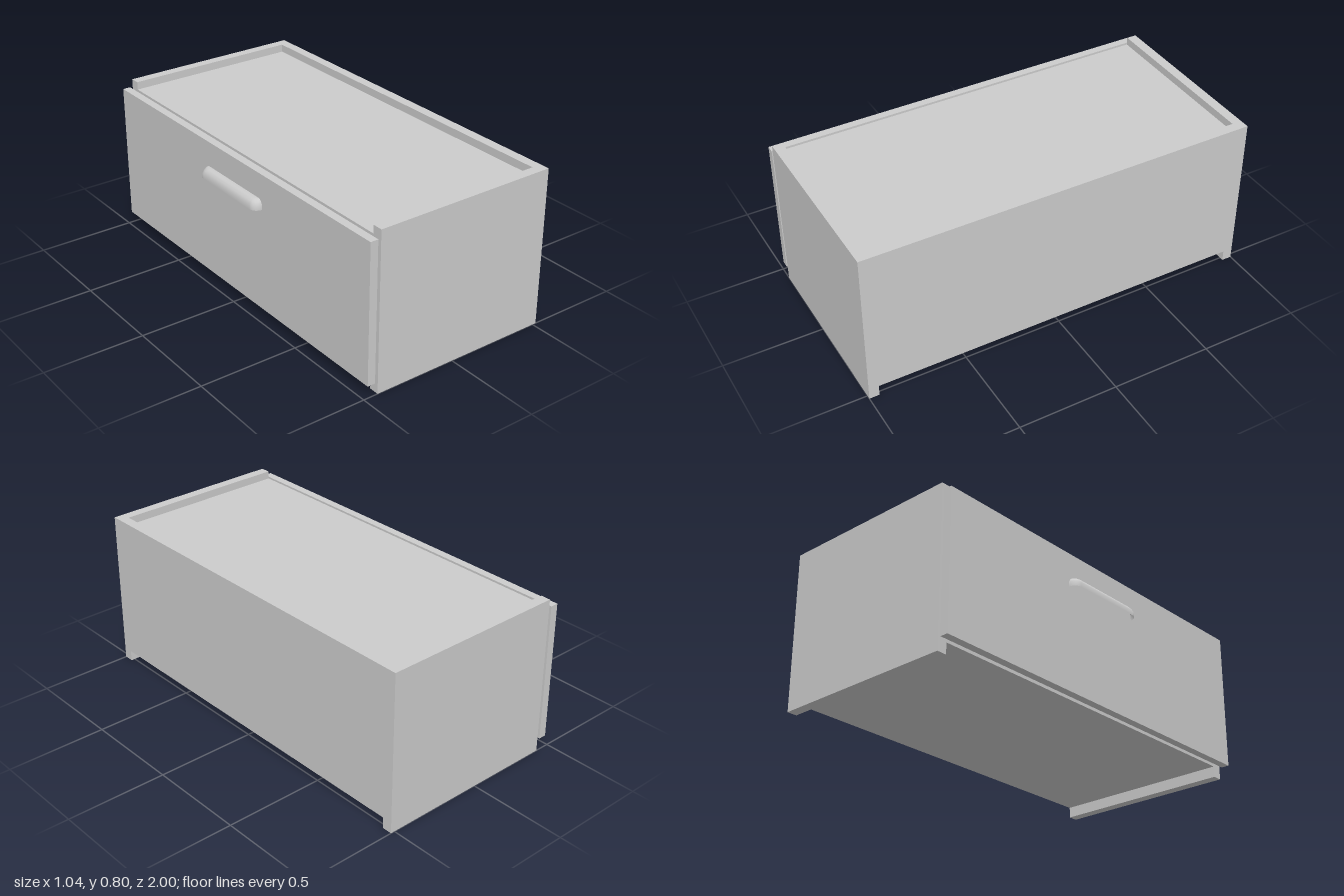
import * as THREE from 'three';
import { toCreasedNormals } from 'three/addons/utils/BufferGeometryUtils.js';

const grey = new THREE.MeshStandardMaterial({ color: 0xcccccc });
const greyThin = new THREE.MeshStandardMaterial({ color: 0xcccccc, side: THREE.DoubleSide });

// Box given by its minimum and maximum on each axis
function slab(name, [x0, x1], [y0, y1], [z0, z1]) {
  const mesh = new THREE.Mesh(new THREE.BoxGeometry(x1 - x0, y1 - y0, z1 - z0), grey);
  mesh.position.set((x0 + x1) / 2, (y0 + y1) / 2, (z0 + z1) / 2);
  mesh.name = name;
  return mesh;
}

// Cup pull: rounded outlines stacked upward, closing over the top, open below
function cupPull() {
  const wallX = -0.48, depth = 0.041, half = 0.23, steps = 8;
  const levels = [[0.584, 0], [0.608, 0], [0.622, 0.008], [0.631, 0.016], [0.634, 0.022], [0.634, depth]];
  const pos = [], index = [];
  for (const [y, inset] of levels) {
    const d = depth - inset, h = half - inset;
    for (const side of [-1, 1]) {
      for (let k = 0; k <= steps; k++) {
        const a = (side < 0 ? k : steps - k) / steps * Math.PI / 2;
        pos.push(wallX - d * Math.sin(a), y, side * (h - 0.04 + 0.04 * Math.cos(a)));
      }
    }
  }
  const n = 2 * (steps + 1);
  for (let i = 0; i < levels.length - 1; i++) {
    for (let j = 0; j < n - 1; j++) {
      const a = i * n + j, b = a + 1, c = b + n, d = a + n;
      index.push(a, b, c, a, c, d);
    }
  }
  const geo = new THREE.BufferGeometry();
  geo.setAttribute('position', new THREE.Float32BufferAttribute(pos, 3));
  geo.setIndex(index);
  const mesh = new THREE.Mesh(toCreasedNormals(geo, 0.7), greyThin);
  mesh.name = 'handle';
  return mesh;
}

export function createModel() {
  const model = new THREE.Group();
  model.name = 'drawerCabinet';

  // Carcass: full-height sides, raised back and bottom, recessed top
  const carcass = new THREE.Group();
  carcass.name = 'carcass';
  const inner = [-0.95, 0.95];
  carcass.add(
    slab('leftSide', [-0.425, 0.52], [0, 0.8], [0.95, 1]),
    slab('rightSide', [-0.425, 0.52], [0, 0.8], [-1, -0.95]),
    slab('backPanel', [0.47, 0.52], [0.055, 0.8], inner),
    slab('topPanel', [-0.425, 0.47], [0.71, 0.76], inner),
    slab('bottomPanel', [-0.425, 0.47], [0.055, 0.105], inner)
  );

  // Drawer: open box behind an overlay front
  const drawer = new THREE.Group();
  drawer.name = 'drawer';
  drawer.add(
    slab('drawerFront', [-0.48, -0.44], [0.06, 0.76], [-1, 1]),
    slab('drawerLeftSide', [-0.44, 0.44], [0.12, 0.685], [0.85, 0.92]),
    slab('drawerRightSide', [-0.44, 0.44], [0.12, 0.685], [-0.92, -0.85]),
    slab('drawerBack', [0.4, 0.44], [0.12, 0.685], [-0.85, 0.85]),
    slab('drawerFloor', [-0.44, 0.4], [0.12, 0.16], [-0.85, 0.85]),
    cupPull()
  );

  model.add(carcass, drawer);
  return model;
}
